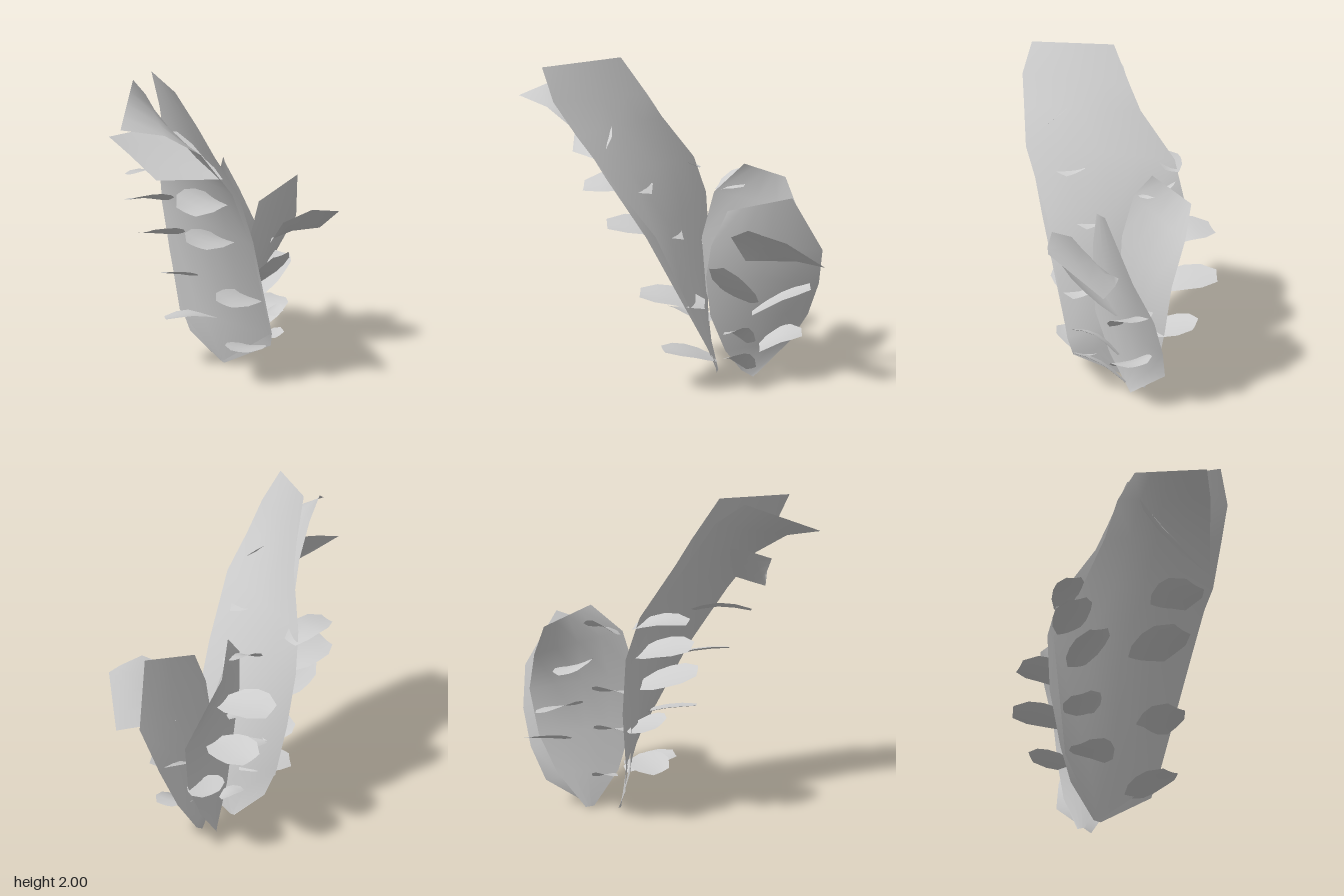
import * as THREE from 'three';

const V = (p) => new THREE.Vector3(...p);

// Lofts a thin sheet through rows of [one edge, other edge]; bulge bows the middle out.
function sheet(name, rows, bulge, material) {
  const cols = 4, pos = [], idx = [];
  rows.forEach(([a, b], r) => {
    const l = V(a), e = V(b).sub(l);
    const next = rows[Math.min(r + 1, rows.length - 1)], prev = rows[Math.max(r - 1, 0)];
    const along = V(next[0]).add(V(next[1])).sub(V(prev[0])).sub(V(prev[1]));
    const n = new THREE.Vector3().crossVectors(e, along).normalize();
    for (let c = 0; c <= cols; c++) {
      const t = c / cols;
      const p = l.clone().addScaledVector(e, t)
        .addScaledVector(n, bulge * e.length() * Math.sin(Math.PI * t));
      pos.push(p.x, p.y, p.z);
      if (r && c) {
        const i = r * (cols + 1) + c, j = i - cols - 1;
        idx.push(j - 1, j, i, j - 1, i, i - 1);
      }
    }
  });
  const g = new THREE.BufferGeometry();
  g.setAttribute('position', new THREE.Float32BufferAttribute(pos, 3));
  g.setIndex(idx);
  g.computeVertexNormals();
  const mesh = new THREE.Mesh(g, material);
  mesh.name = name;
  return mesh;
}

// Small arched leaflet growing from base to tip; roll tilts its width.
function leaflet(name, [base, tip, width, arch, roll], material) {
  const b = V(base), d = V(tip).sub(b);
  const side = new THREE.Vector3(-d.z, 0, d.x).normalize();
  side.y = roll;
  side.normalize();
  const profile = [0.5, 0.9, 1, 0.95, 0.5];
  const rows = profile.map((k, i) => {
    const t = i / (profile.length - 1);
    const p = b.clone().addScaledVector(d, t);
    p.y += arch * Math.sin(Math.PI * t);
    return [-1, 1].map((s) => p.clone().addScaledVector(side, s * k * width / 2).toArray());
  });
  return sheet(name, rows, -0.05, material);
}

export function createModel() {
  const model = new THREE.Group();
  model.name = 'plant';
  const grey = new THREE.MeshStandardMaterial({ color: 0xcccccc, side: THREE.DoubleSide });
  grey.name = 'leaf grey';

  // Tall blade leaning to one side
  model.add(sheet('tallBlade', [
    [[0.13, 0, -0.1], [0.12, 0.01, -0.14]],
    [[0.3, 0.2, 0.2], [-0.03, 0.2, -0.27]],
    [[0.28, 0.3, 0.24], [-0.08, 0.4, -0.33]],
    [[0.15, 0.65, 0.33], [-0.11, 0.75, -0.4]],
    [[0.02, 1.0, 0.42], [-0.15, 1.1, -0.42]],
    [[-0.2, 1.38, 0.6], [-0.2, 1.34, -0.35]],
    [[-0.37, 1.6, 0.65], [-0.29, 1.62, -0.12]],
    [[-0.5, 1.79, 0.69], [-0.35, 1.77, -0.04]],
    [[-0.61, 1.98, 0.65], [-0.46, 2, 0.08]],
  ], 0, grey));

  // Second blade lying behind the first and forking away at the tip
  model.add(sheet('rearBlade', [
    [[0.13, 0.02, -0.1], [0.11, 0.02, -0.14]],
    [[0.27, 0.3, 0.24], [-0.09, 0.35, -0.3]],
    [[-0.02, 1.0, 0.46], [-0.17, 1.08, -0.38]],
    [[-0.22, 1.36, 0.58], [-0.24, 1.4, -0.2]],
    [[-0.42, 1.61, 0.58], [-0.36, 1.66, -0.06]],
    [[-0.64, 1.74, 0.58], [-0.47, 1.86, 0.02]],
    [[-0.88, 1.79, 0.55], [-0.6, 1.97, 0.13]],
  ], 0, grey));

  // Two broad leaves, back and front
  model.add(sheet('backBroadLeaf', [
    [[0.27, 0.01, -0.2], [0.3, 0.01, -0.25]],
    [[0.15, 0.25, -0.1], [0.45, 0.25, -0.35]],
    [[0.08, 0.55, -0.05], [0.55, 0.5, -0.4]],
    [[0.04, 0.9, -0.06], [0.58, 0.8, -0.44]],
    [[0.08, 1.18, -0.14], [0.48, 1.05, -0.5]],
    [[0.22, 1.35, -0.27], [0.38, 1.24, -0.52]],
  ], 0, grey));
  model.add(sheet('frontBroadLeaf', [
    [[0.3, 0.05, -0.12], [0.36, 0, -0.17]],
    [[0.24, 0.2, -0.02], [0.5, 0.2, -0.4]],
    [[0.19, 0.45, 0.08], [0.62, 0.4, -0.4]],
    [[0.17, 0.7, 0.1], [0.71, 0.63, -0.36]],
    [[0.2, 0.9, 0.09], [0.78, 0.88, -0.25]],
    [[0.29, 1.12, 0.05], [0.66, 1.22, -0.07]],
  ], 0, grey));

  // Wide leaf spreading out of the front broad leaf
  model.add(sheet('spreadingLeaf', [
    [[0.4, 0.82, 0.02], [0.5, 0.8, -0.12]],
    [[0.39, 1.0, 0.18], [0.67, 0.82, -0.13]],
    [[0.55, 1.08, 0.26], [0.87, 0.82, -0.1]],
    [[0.7, 1.05, 0.25], [0.78, 1.03, 0.23]],
  ], 0, grey));

  // Steep wide leaf on the rear of the tall blade
  model.add(sheet('upperBladeLeaf', [
    [[-0.27, 1.45, 0.56], [-0.3, 1.57, 0.4]],
    [[-0.45, 1.45, 0.47], [-0.4, 1.68, 0.27]],
    [[-0.6, 1.45, 0.4], [-0.62, 1.69, 0.18]],
    [[-0.66, 1.54, 0.29], [-0.77, 1.67, 0.16]],
  ], 0, grey));

  // Leaflets: base, tip, width, arch, roll
  const leaflets = {
    bladeLeaflet: [
      [[-0.11, 1.25, 0.26], [-0.46, 1.27, 0.48], 0.26, 0.04, 0.3],
      [[-0.15, 1.28, -0.34], [-0.46, 1.33, -0.24], 0.18, 0.03, -0.2],
      [[-0.15, 1.11, -0.3], [-0.47, 1.18, -0.22], 0.24, 0.02, -0.3],
      [[0.01, 0.95, 0.11], [-0.35, 1.03, 0.4], 0.26, 0.03, 0.25],
      [[-0.13, 0.9, -0.24], [-0.43, 1.0, -0.09], 0.24, 0.01, -0.3],
      [[0.2, 0.55, 0.16], [-0.14, 0.62, 0.36], 0.24, 0.02, 0.2],
      [[-0.03, 0.61, -0.2], [-0.25, 0.67, -0.2], 0.24, 0.01, -0.3],
      [[0.06, 0.35, -0.08], [-0.25, 0.36, -0.2], 0.24, 0.03, -0.2],
      [[0.23, 0.18, 0.08], [0, 0.27, 0.32], 0.25, 0.02, 0],
    ],
    backLeaflet: [
      [[0.22, 1.23, -0.3], [0.03, 1.2, -0.27], 0.24, 0.03, 0.4],
      [[0.2, 0.8, -0.22], [-0.06, 0.85, -0.3], 0.24, 0.02, 0.3],
      [[0.2, 0.55, -0.22], [-0.03, 0.6, -0.27], 0.22, 0.02, 0.3],
      [[0.25, 0.22, -0.2], [0.1, 0.26, -0.22], 0.17, 0.02, 0.3],
      [[0.28, 0.98, -0.32], [0.12, 1.02, -0.62], 0.24, 0.03, -0.3],
      [[0.33, 0.71, -0.3], [0.27, 0.77, -0.67], 0.24, 0.02, -0.3],
      [[0.42, 0.46, -0.28], [0.48, 0.54, -0.57], 0.22, 0.01, -0.3],
    ],
    frontLeaflet: [
      [[0.38, 0.52, -0.1], [0.33, 0.82, 0.25], 0.22, -0.01, -0.25],
      [[0.38, 0.46, -0.1], [0.69, 0.63, -0.28], 0.24, 0.04, -0.1],
      [[0.38, 0.26, -0.1], [0.37, 0.4, 0.18], 0.14, 0.05, -0.4],
      [[0.42, 0.22, -0.13], [0.65, 0.33, -0.26], 0.24, 0.04, -0.1],
      [[0.36, 0.07, -0.14], [0.38, 0.25, 0.18], 0.15, 0.04, -0.4],
    ],
  };
  for (const [name, list] of Object.entries(leaflets)) {
    list.forEach((spec, i) => model.add(leaflet(name + (i + 1), spec, grey)));
  }
  return model;
}
